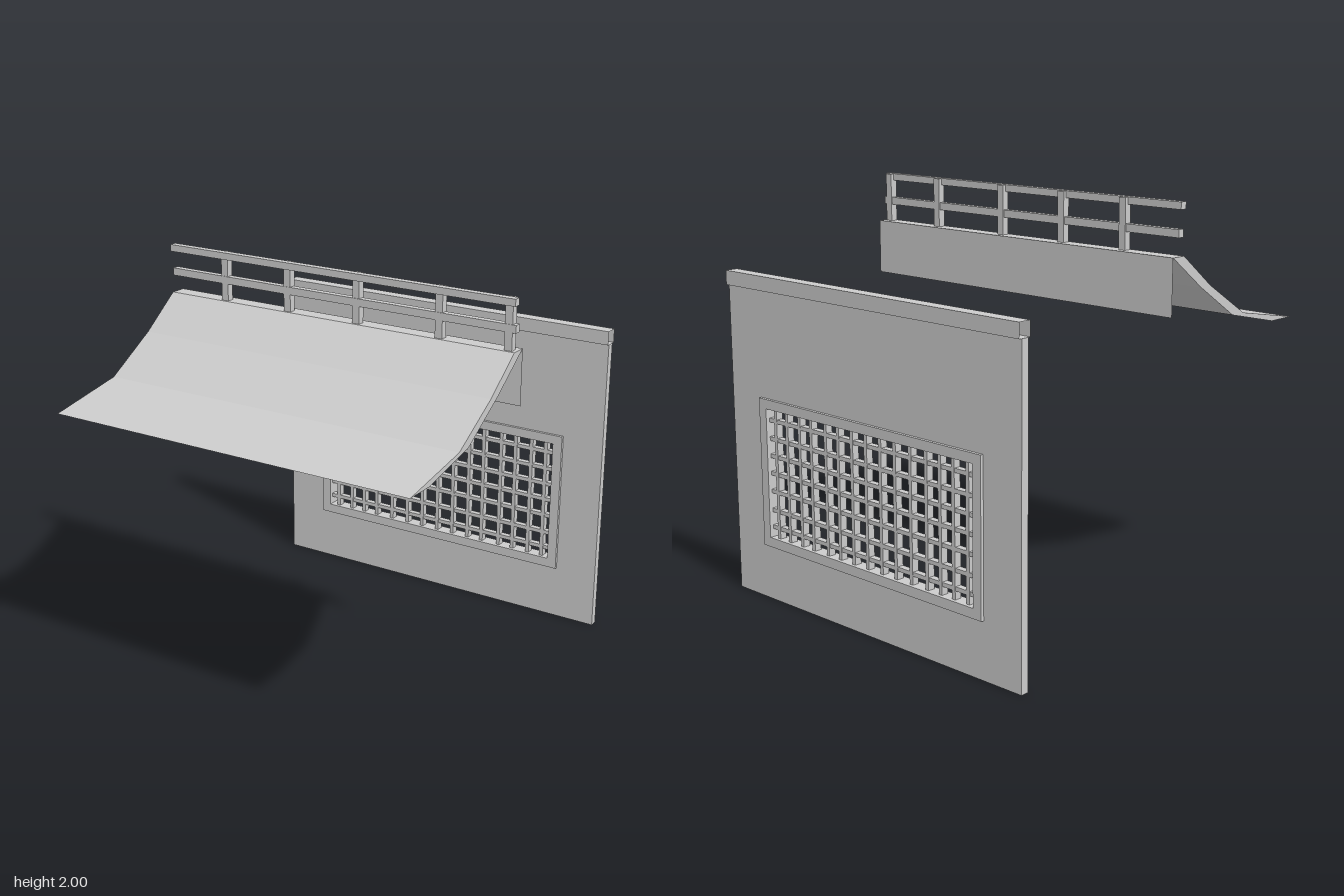
import * as THREE from 'three';

const material = new THREE.MeshStandardMaterial({ color: 0xcccccc, flatShading: true });
const sheet = new THREE.MeshStandardMaterial({ color: 0xcccccc, flatShading: true, side: THREE.DoubleSide });

const HALF = 0.96;      // half width of the whole assembly
const WALL_Z = -0.942;  // middle plane of the wall

// Box given by its min and max on each axis
function box(name, [x0, x1], [y0, y1], [z0, z1]) {
  const mesh = new THREE.Mesh(new THREE.BoxGeometry(x1 - x0, y1 - y0, z1 - z0), material);
  mesh.position.set((x0 + x1) / 2, (y0 + y1) / 2, (z0 + z1) / 2);
  mesh.name = name;
  return mesh;
}

const rectangle = (PathType, x0, x1, y0, y1) => new PathType([
  new THREE.Vector2(x0, y0), new THREE.Vector2(x1, y0),
  new THREE.Vector2(x1, y1), new THREE.Vector2(x0, y1),
]);

// Rectangular slab with the window opening cut out
function slabWithOpening(name, halfWidth, y0, y1, depth) {
  const shape = rectangle(THREE.Shape, -halfWidth, halfWidth, y0, y1);
  shape.holes.push(rectangle(THREE.Path, -0.69, 0.69, 0.325, 0.97));
  const geometry = new THREE.ExtrudeGeometry(shape, { depth, bevelEnabled: false });
  geometry.translate(0, 0, WALL_Z - depth / 2);
  const mesh = new THREE.Mesh(geometry, material);
  mesh.name = name;
  return mesh;
}

function createWall() {
  const wall = new THREE.Group();
  wall.name = 'wall';
  wall.add(slabWithOpening('wallPanel', HALF, 0, 1.54, 0.04));
  wall.add(slabWithOpening('windowFrame', 0.74, 0.277, 1.017, 0.071));

  // Coping along the top, open at both ends
  const coping = box('wallCoping', [-HALF, HALF], [1.54, 1.61], [-0.978, -0.912]);
  coping.geometry.setIndex(Array.from(coping.geometry.index.array).slice(12));
  coping.geometry.clearGroups();
  coping.material = sheet;
  wall.add(coping);

  // Lattice bars
  const lattice = new THREE.Group();
  lattice.name = 'windowLattice';
  const columns = [-0.643, -0.556, -0.474, -0.389, -0.288, -0.188, -0.093, 0.003,
    0.098, 0.193, 0.28, 0.384, 0.468, 0.56, 0.643];
  const rows = [0.376, 0.461, 0.557, 0.647, 0.734, 0.82, 0.912];
  for (const x of columns) {
    lattice.add(box('verticalBar', [x - 0.01, x + 0.01], [0.325, 0.97], [WALL_Z - 0.018, WALL_Z + 0.018]));
  }
  for (const y of rows) {
    lattice.add(box('horizontalBar', [-0.69, 0.69], [y - 0.01, y + 0.01], [WALL_Z - 0.016, WALL_Z + 0.016]));
  }
  wall.add(lattice);
  return wall;
}

function createAwning() {
  const awning = new THREE.Group();
  awning.name = 'awning';

  // Flared roof: a (z, y) section swept across the width
  const section = [
    [0.021, 1.757], [0.1, 1.757], [0.305, 1.6], [0.573, 1.437],
    [0.975, 1.363], [0.817, 1.363], [0.488, 1.437], [0.233, 1.6],
  ];
  const shape = new THREE.Shape(section.map(([z, y]) => new THREE.Vector2(-z, y)));
  const geometry = new THREE.ExtrudeGeometry(shape, { depth: 2 * HALF, bevelEnabled: false });
  geometry.translate(0, 0, -HALF);
  geometry.rotateY(Math.PI / 2); // section depth becomes z, sweep becomes x
  const roof = new THREE.Mesh(geometry, material);
  roof.name = 'awningRoof';
  awning.add(roof);

  // Thin board hanging behind the upper edge
  const board = new THREE.Mesh(new THREE.PlaneGeometry(2 * HALF, 0.27), sheet);
  board.position.set(0, 1.622, 0.02);
  board.name = 'awningBackBoard';
  awning.add(board);
  return awning;
}

function createRailing() {
  const railing = new THREE.Group();
  railing.name = 'railing';
  railing.add(box('topRail', [-HALF, HALF], [1.966, 2], [0.07, 0.106]));
  railing.add(box('middleRail', [-HALF, HALF], [1.842, 1.879], [0.058, 0.092]));
  for (const x of [-0.64, -0.268, 0.123, 0.568, 0.922]) {
    railing.add(box('railingPost', [x - 0.019, x + 0.019], [1.757, 1.998], [0.053, 0.089]));
  }
  return railing;
}

export function createModel() {
  const model = new THREE.Group();
  model.name = 'awningAndLatticeWall';
  model.add(createWall(), createAwning(), createRailing());
  return model;
}
